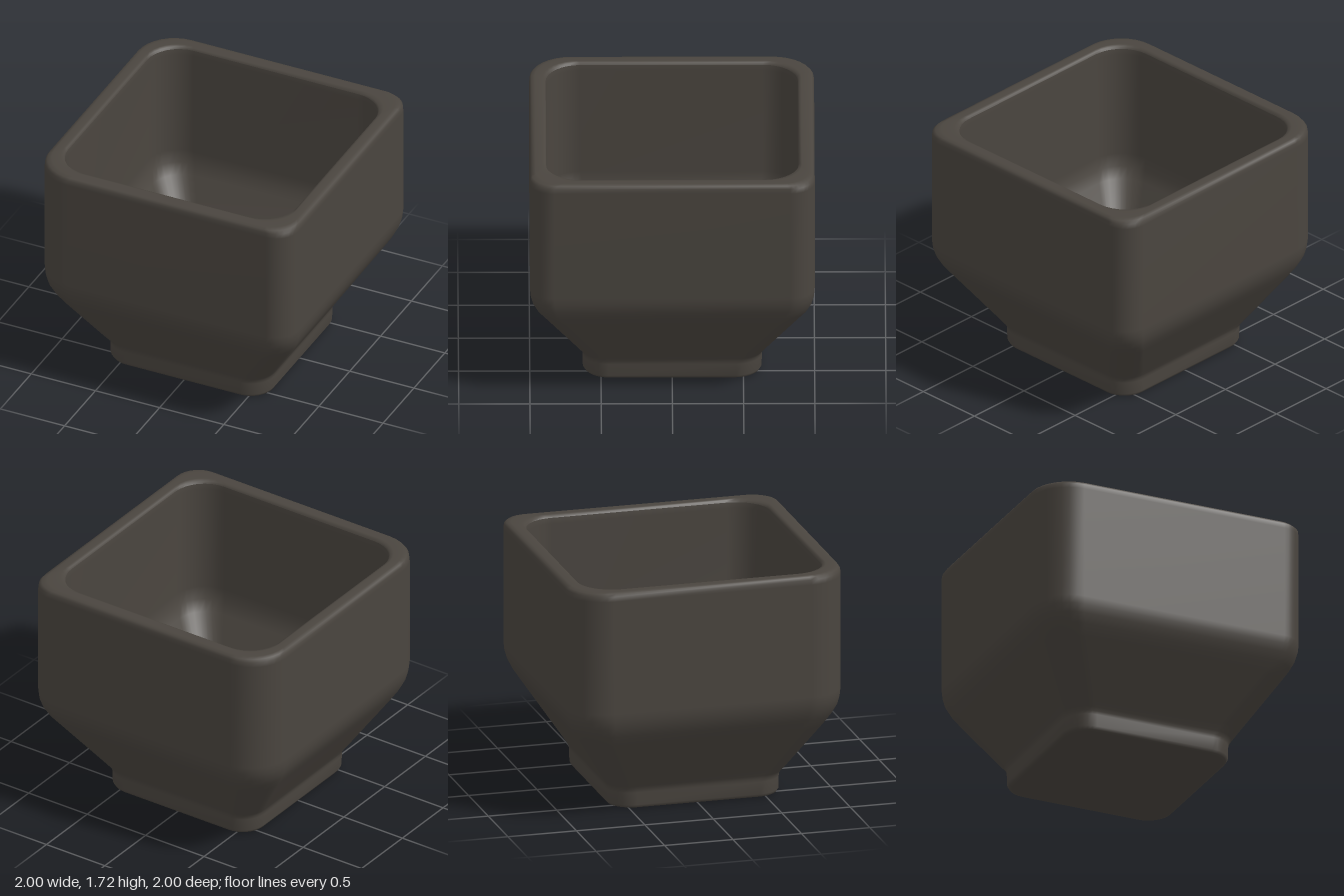
import * as THREE from 'three';

const CORNER_STEPS = 8;

// Rounded-square loop of points at height y; the +x corners may be tighter
function ring(half, radius, y, rightRadius = radius) {
  const points = [];
  for (let corner = 0; corner < 4; corner++) {
    const mid = (corner + 0.5) * Math.PI / 2;
    const sx = Math.sign(Math.cos(mid)), sz = Math.sign(Math.sin(mid));
    const r = sx > 0 ? rightRadius : radius;
    for (let i = 0; i <= CORNER_STEPS; i++) {
      const a = (corner + i / CORNER_STEPS) * Math.PI / 2;
      points.push(sx * (half - r) + r * Math.cos(a), y, sz * (half - r) + r * Math.sin(a));
    }
  }
  return points;
}

// Skin through a list of [half width, corner radius, height, right corner radius]
function loft(sections) {
  const positions = sections.flatMap(s => ring(...s));
  const n = 4 * (CORNER_STEPS + 1);
  const index = [];
  for (let j = 0; j < sections.length - 1; j++) {
    for (let i = 0; i < n; i++) {
      const a = j * n + i, b = j * n + (i + 1) % n;
      index.push(a, a + n, b, b, a + n, b + n);
    }
  }
  const geometry = new THREE.BufferGeometry();
  geometry.setAttribute('position', new THREE.Float32BufferAttribute(positions, 3));
  geometry.setIndex(index);
  geometry.computeVertexNormals();
  return geometry;
}

export function createModel() {
  const group = new THREE.Group();
  group.name = 'squarePlanter';
  const clay = new THREE.MeshStandardMaterial({ color: 0x4a453f });
  clay.name = 'darkClay';

  const add = (name, sections) => {
    const mesh = new THREE.Mesh(loft(sections), clay);
    mesh.name = name;
    group.add(mesh);
  };

  // Underside, foot, flared belly, straight wall and rounded rim
  add('outerShell', [
    [0.0001, 0, 0], [0.59, 0.15, 0], [0.615, 0.17, 0.008], [0.628, 0.18, 0.03],
    [0.63, 0.18, 0.12], [0.633, 0.18, 0.145], [0.645, 0.18, 0.17], [0.68, 0.18, 0.225],
    [0.9, 0.24, 0.565, 0.18], [0.95, 0.26, 0.645, 0.17], [0.98, 0.27, 0.71, 0.17],
    [0.995, 0.28, 0.77, 0.17], [1, 0.28, 0.83, 0.17],
    [1, 0.28, 1.66, 0.17], [0.997, 0.28, 1.695, 0.17], [0.985, 0.28, 1.713, 0.18],
    [0.96, 0.27, 1.72, 0.19], [0.91, 0.25, 1.72, 0.23], [0.893, 0.25, 1.715], [0.885, 0.245, 1.7],
  ]);

  // Straight inner wall, sloped lower wall and flat floor
  add('innerBowl', [
    [0.885, 0.245, 1.7], [0.88, 0.24, 1.66], [0.88, 0.24, 0.86], [0.865, 0.24, 0.77],
    [0.83, 0.22, 0.69], [0.56, 0.12, 0.25], [0.52, 0.1, 0.2], [0.46, 0.08, 0.18],
    [0.0001, 0, 0.18],
  ]);
  return group;
}
